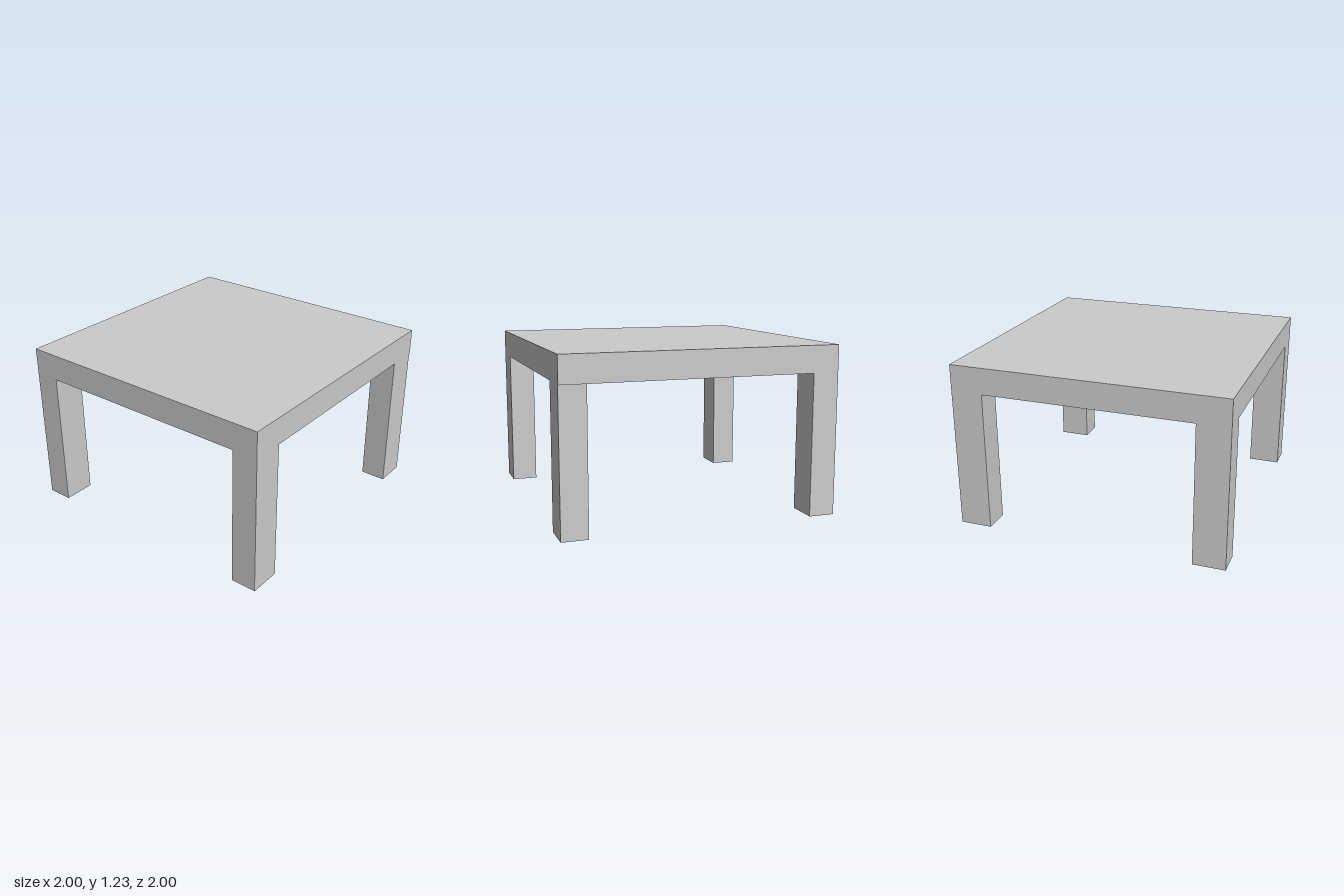
import * as THREE from 'three';

export function createModel() {
  const table = new THREE.Group();
  table.name = 'table';
  const material = new THREE.MeshStandardMaterial({ color: 0xcccccc, flatShading: true });

  const addBox = (name, w, h, d, x, y, z) => {
    const mesh = new THREE.Mesh(new THREE.BoxGeometry(w, h, d), material);
    mesh.name = name;
    mesh.position.set(x, y, z);
    table.add(mesh);
  };

  const legHeight = 1.03, topThickness = 0.195;
  const legWidth = 0.235, legDepth = 0.19;

  // Thick square slab
  addBox('tableTop', 2, topThickness, 2, 0, legHeight + topThickness / 2, 0);

  // Corner legs; the front left one sits slightly inside the edge
  for (const [name, sx, sz, inset] of [
    ['frontLeftLeg', 1, 1, 0.01],
    ['frontRightLeg', -1, 1, 0],
    ['backLeftLeg', 1, -1, 0],
    ['backRightLeg', -1, -1, 0],
  ]) {
    addBox(name, legWidth, legHeight, legDepth,
      sx * (1 - inset - legWidth / 2), legHeight / 2, sz * (1 - legDepth / 2));
  }

  return table;
}
